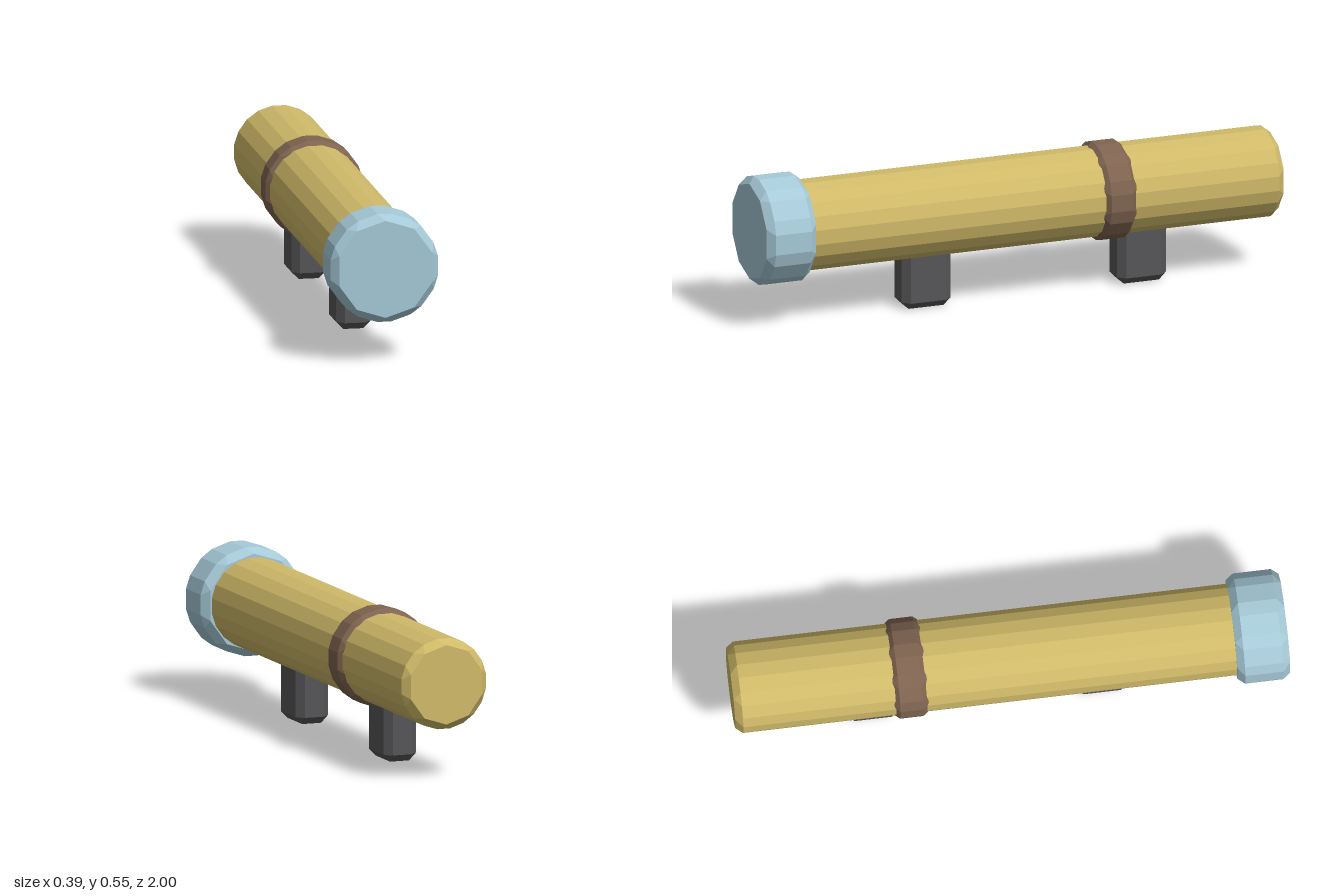
import * as THREE from 'three';

const BEVEL = 0.0265;

// Prism along z over a convex counter-clockwise polygon, with every edge chamfered.
function chamferedPrism(corners, z0, z1, b = BEVEL) {
  const n = corners.length;
  const outer = [], inner = [];
  corners.forEach((p, i) => {
    const u = corners[(i + n - 1) % n].clone().sub(p).normalize();
    const v = corners[(i + 1) % n].clone().sub(p).normalize();
    outer.push(p.clone().addScaledVector(u, b), p.clone().addScaledVector(v, b));
    const inset = p.clone().addScaledVector(u.clone().add(v), b / Math.abs(u.cross(v)));
    inner.push(inset, inset);
  });
  const mid = new THREE.Vector2();
  const centre = outer.map(() => mid);
  // Loops from the back end to the front end
  const loops = [[centre, z0], [inner, z0], [outer, z0 + b], [outer, z1 - b], [inner, z1], [centre, z1]]
    .map(([pts, z]) => pts.map(p => new THREE.Vector3(p.x, p.y, z)));
  const positions = [];
  const triangle = (a, c, d) => {
    if (a.equals(c) || c.equals(d) || d.equals(a)) return;
    for (const p of [a, c, d]) positions.push(p.x, p.y, p.z);
  };
  for (let k = 0; k < loops.length - 1; k++) {
    const lo = loops[k], hi = loops[k + 1];
    for (let i = 0; i < 2 * n; i++) {
      const j = (i + 1) % (2 * n);
      triangle(lo[i], lo[j], hi[j]);
      triangle(lo[i], hi[j], hi[i]);
    }
  }
  const geometry = new THREE.BufferGeometry();
  geometry.setAttribute('position', new THREE.Float32BufferAttribute(positions, 3));
  geometry.computeVertexNormals();
  return geometry;
}

// Regular decagon with a corner at the top, sized by the distance to its flat sides
function decagon(apothem) {
  const r = apothem / Math.cos(Math.PI / 10);
  return Array.from({ length: 10 }, (_, i) => {
    const a = Math.PI / 2 + i * Math.PI / 5;
    return new THREE.Vector2(r * Math.cos(a), r * Math.sin(a));
  });
}

function rectangle(w, h) {
  return [[-1, -1], [1, -1], [1, 1], [-1, 1]].map(([x, y]) => new THREE.Vector2(x * w / 2, y * h / 2));
}

function material(name, color) {
  const m = new THREE.MeshStandardMaterial({ color, flatShading: true });
  m.name = name;
  return m;
}

export function createModel() {
  const model = new THREE.Group();
  model.name = 'scope';
  const brass = material('brass', 0xd0ba69);
  const glass = material('pale blue glass', 0xa6cad8);
  const leather = material('brown band', 0x7f6450);
  const iron = material('dark iron', 0x565658);

  const add = (name, geometry, mat, x, y, z) => {
    const mesh = new THREE.Mesh(geometry, mat);
    mesh.name = name;
    mesh.position.set(x, y, z);
    model.add(mesh);
    return mesh;
  };

  // Barrel, front lens and band share one axis
  const axisY = 0.35;
  add('barrel', chamferedPrism(decagon(0.164), -1, 0.9), brass, 0, axisY, 0);
  add('lens', chamferedPrism(decagon(0.196), 0.809, 1), glass, 0, axisY, 0);
  add('band', chamferedPrism(decagon(0.178), -0.434, -0.297), leather, 0, axisY, 0);

  // Mounting feet, standing upright and sunk into the barrel
  for (const [name, z] of [['frontFoot', 0.335], ['backFoot', -0.492]]) {
    const foot = add(name, chamferedPrism(rectangle(0.126, 0.188), 0, 0.27), iron, 0, 0, z);
    foot.rotation.x = -Math.PI / 2;
  }
  return model;
}
